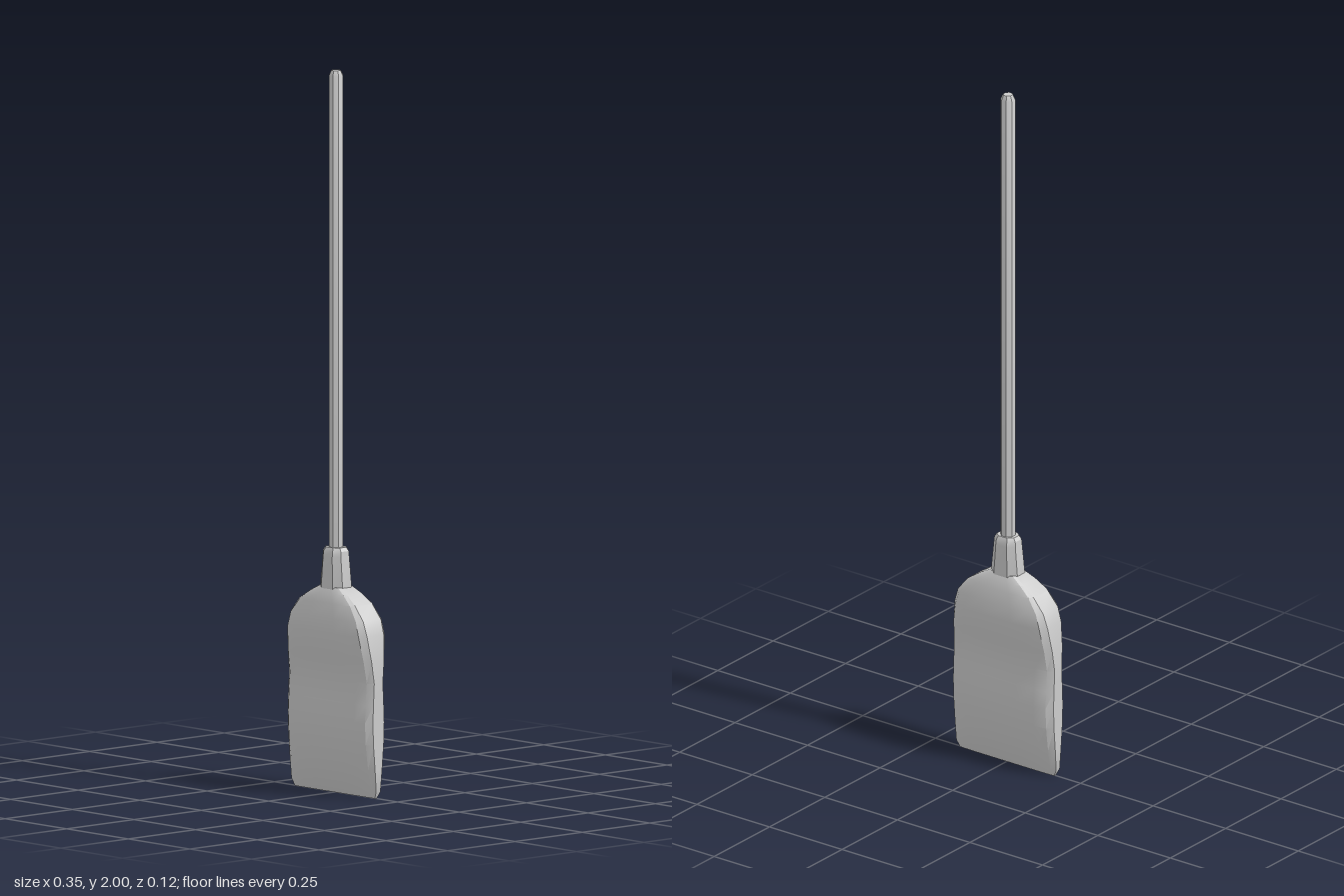
import * as THREE from 'three';
import { toCreasedNormals } from 'three/addons/utils/BufferGeometryUtils.js';

const material = new THREE.MeshStandardMaterial({ color: 0xcccccc });

// Closed loft through rings of equal length, listed bottom to top.
// Each ring runs counter-clockwise seen from above.
function loft(rings) {
  const n = rings[0].length;
  const positions = rings.flat(2);
  const index = [];
  for (let i = 0; i < rings.length - 1; i++) {
    for (let j = 0; j < n; j++) {
      const a = i * n + j, b = i * n + (j + 1) % n;
      index.push(a, b, b + n, a, b + n, a + n);
    }
  }
  const top = (rings.length - 1) * n;
  for (let j = 1; j < n - 1; j++) {
    index.push(0, j + 1, j);
    index.push(top, top + j, top + j + 1);
  }
  const geometry = new THREE.BufferGeometry();
  geometry.setAttribute('position', new THREE.Float32BufferAttribute(positions, 3));
  geometry.setIndex(index);
  return geometry;
}

// Mirrors one quarter outline [x, z] (rim first) into a full ring at height y.
function mirroredRing(quarter, y) {
  const back = quarter.map(([x, z]) => [x, y, -z]);
  const backLeft = quarter.map(([x, z]) => [-x, y, -z]).reverse();
  const frontLeft = quarter.map(([x, z]) => [-x, y, z]);
  const front = quarter.map(([x, z]) => [x, y, z]).reverse();
  return [...back, ...backLeft, ...frontLeft, ...front];
}

function addPart(group, name, geometry, crease) {
  const mesh = new THREE.Mesh(toCreasedNormals(geometry, crease), material);
  mesh.name = name;
  group.add(mesh);
}

export function createModel() {
  const group = new THREE.Group();
  group.name = 'paddle';

  // Blade: height, half width, half thickness at the middle and at the rim
  const sections = [
    [0.0, 0.162, 0.006, 0.004],
    [0.02, 0.172, 0.014, 0.008],
    [0.08, 0.173, 0.030, 0.013],
    [0.15, 0.173, 0.041, 0.019],
    [0.21, 0.173, 0.044, 0.021],
    [0.26, 0.173, 0.041, 0.019],
    [0.32, 0.173, 0.036, 0.016],
    [0.38, 0.170, 0.047, 0.023],
    [0.45, 0.160, 0.060, 0.031],
    [0.49, 0.147, 0.057, 0.033],
    [0.53, 0.113, 0.048, 0.032],
    [0.555, 0.075, 0.040, 0.026],
    [0.572, 0.042, 0.031, 0.021],
  ];
  addPart(group, 'blade', loft(sections.map(([y, w, f, r]) => mirroredRing([
    [w, r],
    [w * 0.9, r + (f - r) * 0.6],
    [w * 0.68, r + (f - r) * 0.88],
    [w * 0.34, f],
  ], y))), 0.5);

  // Socket: tapered collar with a bevelled top
  const collar = [
    [0.55, 0.044, 0.034],
    [0.575, 0.045, 0.034],
    [0.655, 0.037, 0.031],
    [0.67, 0.036, 0.029],
    [0.68, 0.029, 0.024],
  ];
  addPart(group, 'socket', loft(collar.map(([y, w, d]) => mirroredRing([
    [w, d * 0.5],
    [w * 0.5, d],
  ], y))), 0.5);

  // Handle: slim eight-sided pole with a bevelled tip
  const pole = [[0, 0.6], [0.021, 0.6], [0.021, 1.985], [0.014, 2], [0, 2]];
  const handle = new THREE.LatheGeometry(pole.map(([r, y]) => new THREE.Vector2(r, y)), 8);
  handle.rotateY(Math.PI / 8);
  addPart(group, 'handle', handle, 0.5);

  return group;
}
